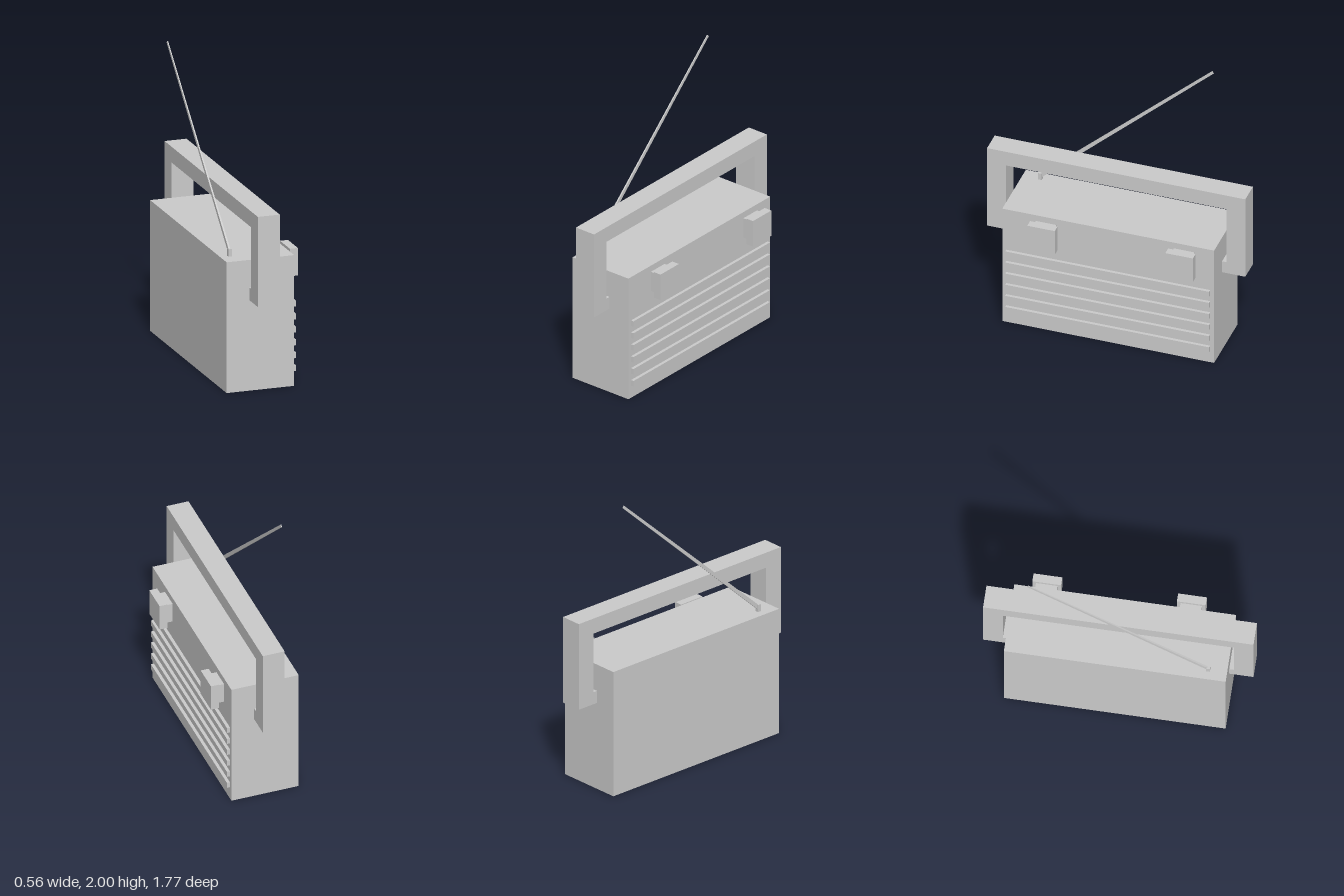
import * as THREE from 'three';

const material = new THREE.MeshStandardMaterial({ color: 0xcccccc, flatShading: true });

function add(parent, name, geometry) {
  const mesh = new THREE.Mesh(geometry, material);
  mesh.name = name;
  parent.add(mesh);
  return mesh;
}

// Box given by its lower and upper limits on each axis
function box(parent, name, [x0, x1], [y0, y1], [z0, z1]) {
  const mesh = add(parent, name, new THREE.BoxGeometry(x1 - x0, y1 - y0, z1 - z0));
  mesh.position.set((x0 + x1) / 2, (y0 + y1) / 2, (z0 + z1) / 2);
  return mesh;
}

export function createModel() {
  const radio = new THREE.Group();
  radio.name = 'portableRadio';

  // Case
  box(radio, 'case', [-0.285, 0.18], [0, 0.885], [-0.725, 0.725]);

  // Speaker grille slats
  const grille = new THREE.Group();
  grille.name = 'speakerGrille';
  radio.add(grille);
  for (let i = 0; i < 6; i++) {
    const y = 0.11 + i * 0.0875;
    box(grille, 'grilleSlat', [0.175, 0.201], [y - 0.02, y + 0.02], [-0.698, 0.698]);
  }

  // Square knobs on short stems
  for (const z of [0.425, -0.52]) {
    const knob = new THREE.Group();
    knob.name = 'knob';
    radio.add(knob);
    box(knob, 'knobStem', [0.175, 0.226], [0.7, 0.84], [z - 0.07, z + 0.07]);
    box(knob, 'knobCap', [0.225, 0.28], [0.677, 0.863], [z - 0.094, z + 0.094]);
  }

  // Carrying handle: an arch whose feet turn inward to meet the case
  const half = [[0.72, 0.612], [0.884, 0.612], [0.884, 1.222]];
  const inner = [[0.755, 1.115], [0.755, 0.698], [0.72, 0.698]];
  const mirror = (points) => points.map(([z, y]) => [-z, y]).reverse();
  const outline = [...half, ...mirror(half), ...mirror(inner), ...inner];
  const arch = new THREE.ExtrudeGeometry(
    new THREE.Shape(outline.map(([z, y]) => new THREE.Vector2(z, y))),
    { depth: 0.151, bevelEnabled: false }
  );
  arch.rotateY(-Math.PI / 2);
  arch.translate(0.023, 0, 0);
  add(radio, 'handle', arch);

  // Antenna: small pivot block and a slender tapering rod leaning backward
  const antenna = new THREE.Group();
  antenna.name = 'antenna';
  radio.add(antenna);
  box(antenna, 'antennaPivot', [-0.232, -0.208], [0.88, 0.935], [0.59, 0.614]);

  const start = new THREE.Vector3(-0.22, 0.912, 0.602);
  const end = new THREE.Vector3(-0.22, 1.993, -0.578);
  const direction = end.clone().sub(start);
  const rodGeometry = new THREE.BoxGeometry(0.012, direction.length(), 0.026);
  const position = rodGeometry.attributes.position;
  for (let i = 0; i < position.count; i++) {
    if (position.getY(i) > 0) {
      position.setX(i, position.getX(i) * 0.5);
      position.setZ(i, position.getZ(i) * 0.7);
    }
  }
  rodGeometry.computeVertexNormals();
  const rod = add(antenna, 'antennaRod', rodGeometry);
  rod.position.copy(start).add(end).multiplyScalar(0.5);
  rod.rotation.x = Math.atan2(direction.z, direction.y);

  return radio;
}
